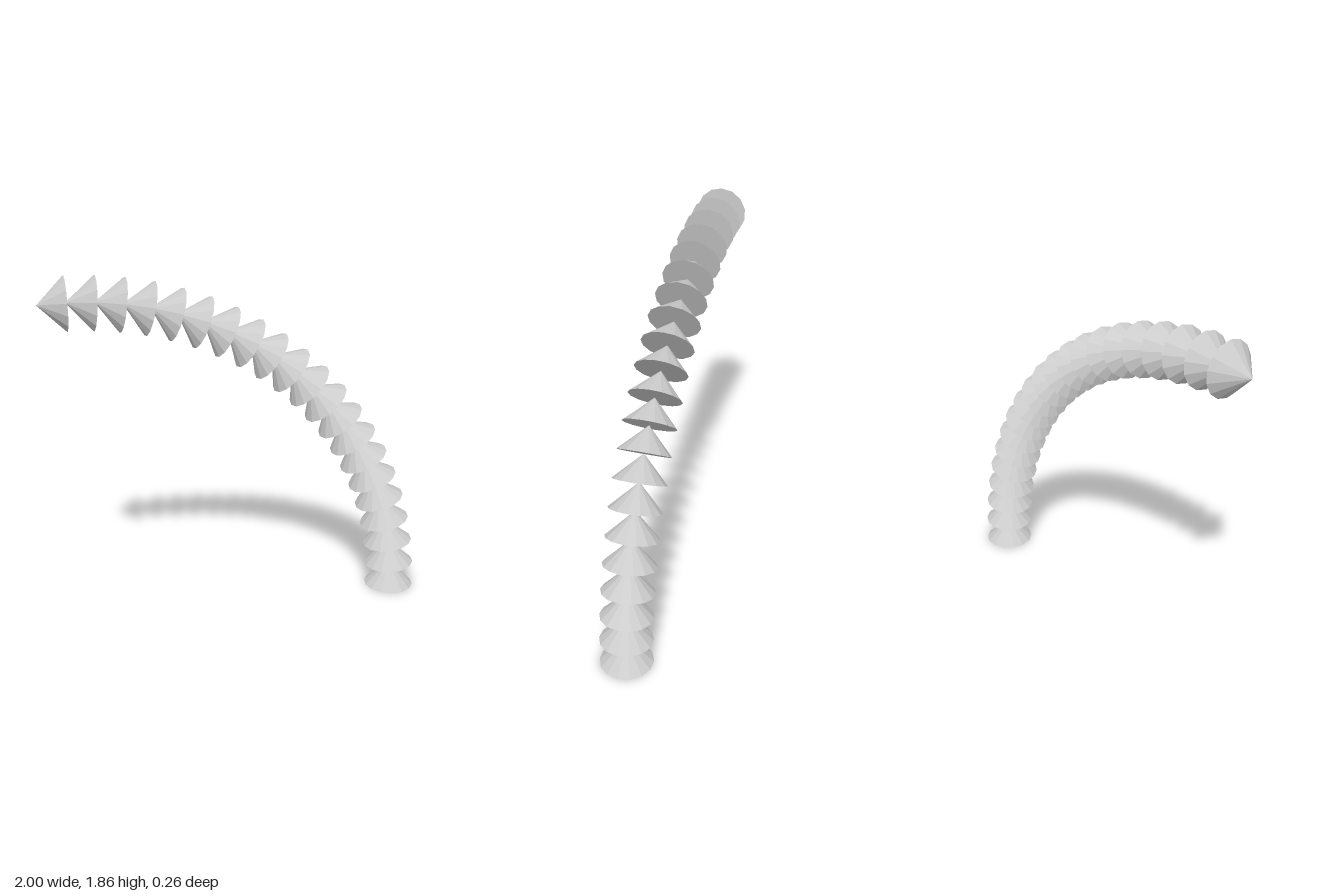
import * as THREE from 'three';

export function createModel() {
  const group = new THREE.Group();
  group.name = 'coneArch';
  const material = new THREE.MeshStandardMaterial({ color: 0xcccccc, flatShading: true });

  const count = 21;
  const arcRadius = 1.729;
  const size = 0.1355; // cone height and base radius
  const centreX = size - 1;

  // Cone with its base at the origin and a corner pointing outwards along +x
  const cone = new THREE.ConeGeometry(size, size, 14);
  cone.rotateY(Math.PI / 2);
  cone.translate(0, size / 2, 0);

  // Cones nose to tail along a quarter circle, each pointing along the tangent
  for (let i = 0; i < count; i++) {
    const angle = (i / (count - 1)) * Math.PI / 2;
    const mesh = new THREE.Mesh(cone, material);
    mesh.name = `cone${i + 1}`;
    mesh.position.set(centreX + arcRadius * Math.cos(angle), arcRadius * Math.sin(angle), 0);
    mesh.rotation.z = angle;
    group.add(mesh);
  }
  return group;
}
